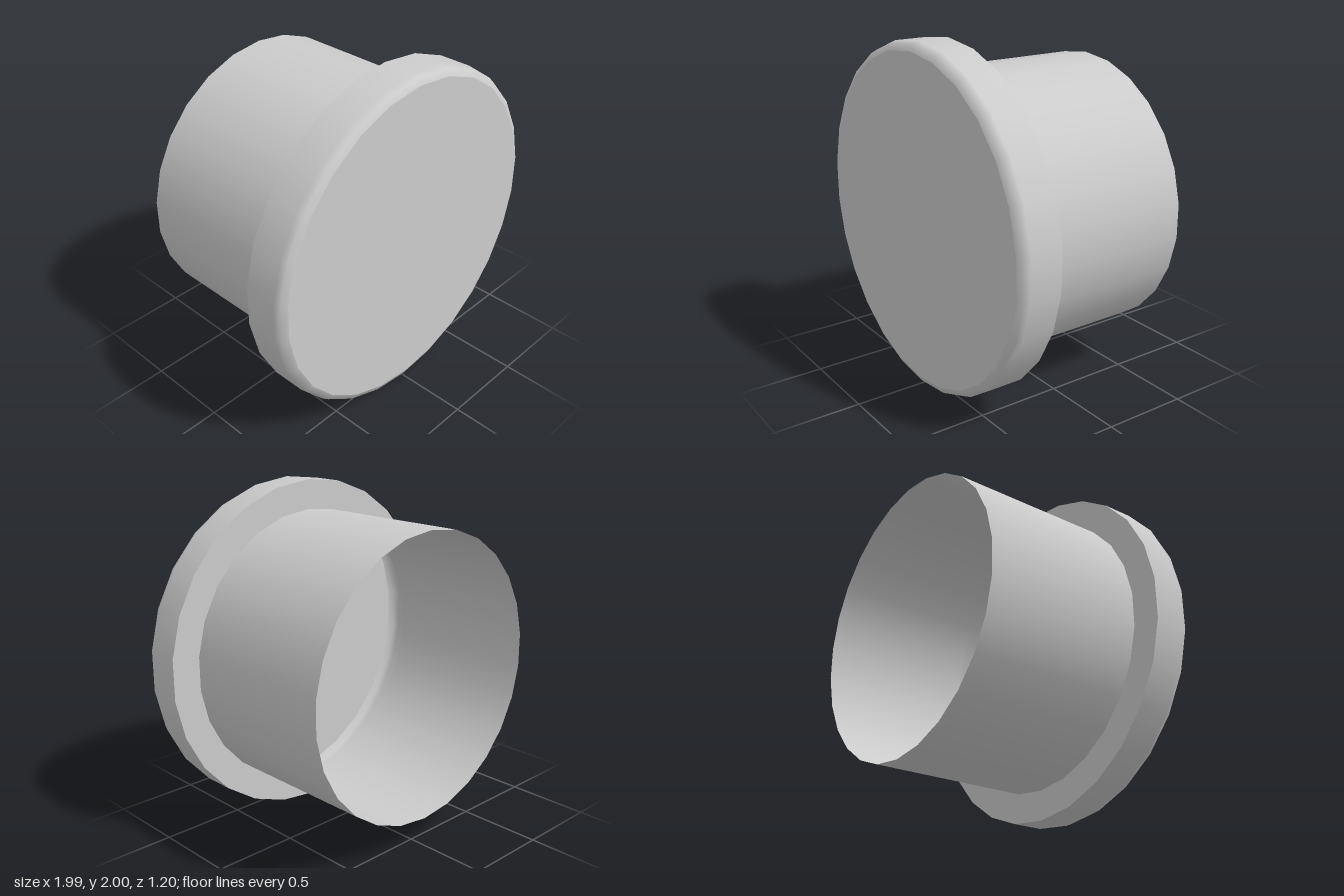
import * as THREE from 'three';

const SIDES = 26;
const material = new THREE.MeshStandardMaterial({ color: 0xcccccc, side: THREE.DoubleSide });

// Revolves [radius, z] points around the z axis, at height 1
function turned(name, points) {
  const profile = points.map(([r, z]) => new THREE.Vector2(r, z));
  const geometry = new THREE.LatheGeometry(profile, SIDES);
  geometry.rotateX(Math.PI / 2).translate(0, 1, 0);
  const mesh = new THREE.Mesh(geometry, material);
  mesh.name = name;
  return mesh;
}

export function createModel() {
  const model = new THREE.Group();
  model.name = 'flangedPlug';

  // Thin hollow sleeve, open at the back and into the cap
  model.add(turned('sleeve', [[0.827, -0.6], [0.827, 0.36]]));
  // Flat ring joining sleeve and cap
  model.add(turned('backRing', [[0.827, 0.36], [1, 0.36]]));
  // Cap wall with a softened front edge
  model.add(turned('capRim', [[1, 0.36], [1, 0.55], [0.985, 0.585], [0.95, 0.602]]));
  // Flat front plate
  model.add(turned('capFace', [[0.95, 0.602], [0, 0.602]]));

  return model;
}
